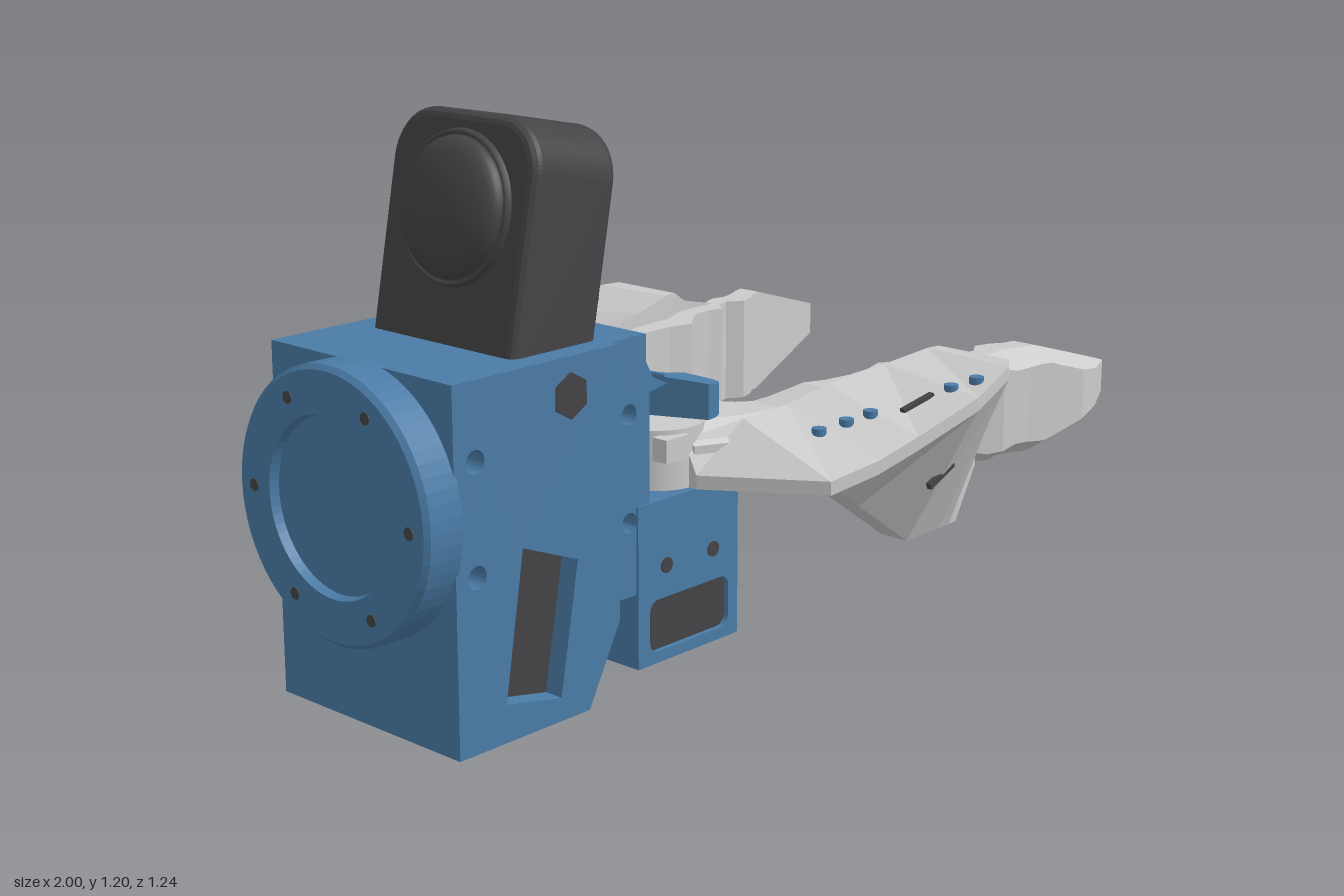
import * as THREE from 'three';

const mat = (color, extra = {}) => new THREE.MeshStandardMaterial({ color, ...extra });
const BLUE = mat(0x4a7ba6), DARK = mat(0x444446), GREY = mat(0xcccccc, { flatShading: true });

function add(parent, name, geo, material, x = 0, y = 0, z = 0) {
  const m = new THREE.Mesh(geo, material);
  m.name = name;
  m.position.set(x, y, z);
  parent.add(m);
  return m;
}

// box given by its limits
function block(parent, name, material, [x0, x1], [y0, y1], [z0, z1]) {
  return add(parent, name, new THREE.BoxGeometry(x1 - x0, y1 - y0, z1 - z0), material,
    (x0 + x1) / 2, (y0 + y1) / 2, (z0 + z1) / 2);
}

const poly = pts => new THREE.Shape(pts.map(p => new THREE.Vector2(...p)));
const circle = (x, y, r) => new THREE.Path().absarc(x, y, r, 0, Math.PI * 2);

function roundRect(x0, x1, y0, y1, r) {
  const s = new THREE.Shape();
  s.absarc(x1 - r, y0 + r, r, -Math.PI / 2, 0);
  s.absarc(x1 - r, y1 - r, r, 0, Math.PI / 2);
  s.absarc(x0 + r, y1 - r, r, Math.PI / 2, Math.PI);
  s.absarc(x0 + r, y0 + r, r, Math.PI, Math.PI * 1.5);
  return s;
}

function extrude(shape, depth, holes = [], bevel = 0) {
  shape.holes.push(...holes);
  return new THREE.ExtrudeGeometry(shape, {
    depth: depth - 2 * bevel, bevelEnabled: bevel > 0, bevelSize: bevel, bevelThickness: bevel,
    bevelOffset: -bevel, bevelSegments: 3, curveSegments: 10,
  });
}

// solid through rings of [x, y, z] points, each running counter-clockwise about +x
function loft(rings) {
  const n = rings[0].length, index = [], last = (rings.length - 1) * n;
  for (let i = 0; i < rings.length - 1; i++)
    for (let j = 0; j < n; j++) {
      const a = i * n + j, b = i * n + (j + 1) % n;
      index.push(a, b, a + n, b, b + n, a + n);
    }
  for (let j = 1; j < n - 1; j++) index.push(0, j + 1, j, last, last + j, last + j + 1);
  const g = new THREE.BufferGeometry();
  g.setAttribute('position', new THREE.Float32BufferAttribute(rings.flat(2), 3));
  g.setIndex(index);
  g.computeVertexNormals();
  return g;
}

// straight-line lookup in a list of [x, value]
function lerp(list, x) {
  let i = 0;
  while (i < list.length - 2 && x > list[i + 1][0]) i++;
  const [x0, v0] = list[i], [x1, v1] = list[i + 1];
  return v0 + (v1 - v0) * THREE.MathUtils.clamp((x - x0) / (x1 - x0), 0, 1);
}

const INNER = [[-.24, .06], [-.1, .09], [-.07, .13], [-.03, .19], [.03, .235], [.09, .265], [.15, .29], [.22, .302],
  [.29, .3], [.35, .283], [.38, .31], [.43, .343], [.48, .346], [.52, .337], [.545, .37], [.58, .378], [.62, .353],
  [.66, .365], [.69, .385], [1, .45]];
const OUTER = [[-.24, .26], [-.1, .33], [.4, .43], [.52, .435], [.58, .468], [.66, .482], [.75, .508], [.82, .523], [.9, .505], [1, .457]];
const TOP = [[-.24, .53], [0, .53], [.1, .562], [.72, .565], [1, .48]];
const BOTTOM = [[-.24, .4], [-.02, .395], [.13, .312], [.71, .315], [1, .4]];

// wing rows: x, inner z, outer z, inner top y, outer top y, keel y, keel z
const WING = [
  [-.25, .24, .275, .5, .43, .4, .27],
  [-.12, .29, .53, .53, .44, .4, .4],
  [.0, .31, .56, .54, .465, .385, .42],
  [.1, .34, .585, .57, .5, .315, .43],
  [.26, .37, .622, .592, .56, .2, .44],
  [.38, .395, .615, .61, .605, .2, .44],
  [.415, .4, .59, .61, .61, .2, .44],
  [.45, .4, .475, .585, .58, .2, .435],
  [.54, .39, .43, .565, .56, .31, .42],
];

function makeFinger(name) {
  const f = new THREE.Group();
  f.name = name;
  // pivot hub with pin
  add(f, 'fingerHub', new THREE.CylinderGeometry(.105, .105, .13, 28), mat(0xcccccc), -.24, .465, .15);
  block(f, 'fingerStop', GREY, [-.33, -.26], [.47, .52], [.225, .265]);

  // scalloped blade
  const xs = [...new Set([...INNER, ...OUTER, ...TOP, ...BOTTOM].map(p => p[0]))].sort((a, b) => a - b);
  add(f, 'fingerBlade', loft(xs.map(x => {
    const zi = lerp(INNER, x), zo = lerp(OUTER, x), t = lerp(TOP, x), b = lerp(BOTTOM, x);
    const c = Math.min(.06, (zo - zi) * .45), d = c * .7;
    return [[x, t, zi], [x, t, zo - c], [x, t - d, zo], [x, b + d, zo], [x, b, zo - c], [x, b, zi]];
  })), GREY);

  // flared wing with keel
  add(f, 'fingerWing', loft(WING.map(([x, zi, zo, yi, yo, yk, zk]) => [
    [x, yi, zi], [x, yo, zo], [x, yo - .03, zo], [x, yk, zk], [x, yk, zk - Math.min(.07, zk - zi)], [x, (yi + yk) / 2, zi],
  ])), GREY);

  // coloured studs and slots on the wing
  const col = k => WING.map(r => [r[0], r[k]]);
  const wingY = (x, z) => {
    const zi = lerp(col(1), x), zo = lerp(col(2), x);
    return THREE.MathUtils.lerp(lerp(col(3), x), lerp(col(4), x), (z - zi) / (zo - zi));
  };
  for (const [x, z] of [[-.02, .415], [.04, .44], [.09, .465], [.26, .55], [.31, .58]])
    add(f, 'wingStud', new THREE.CylinderGeometry(.016, .016, .016, 14), BLUE, x, wingY(x, z), z);
  const slot = add(f, 'wingSlot', new THREE.BoxGeometry(.09, .008, .014), DARK, .18, wingY(.18, .52), .52);
  slot.rotation.set(0, -.15, .25);
  const side = add(f, 'keelSlot', new THREE.BoxGeometry(.09, .014, .012), DARK, .26, .37, .528);
  side.rotation.z = .4;
  return f;
}

function makeCamera() {
  const cam = new THREE.Group();
  cam.name = 'cameraUnit';
  // rounded-top slab
  const s = new THREE.Shape();
  s.moveTo(-.21, -.06);
  s.lineTo(.21, -.06);
  s.absarc(.1, .333, .11, 0, Math.PI / 2);
  s.absarc(-.1, .333, .11, Math.PI / 2, Math.PI);
  const g = extrude(s, .23, [], .02).translate(0, 0, -.095);
  add(cam, 'cameraBody', g.rotateY(Math.PI / 2), DARK);
  // domed lens on both faces
  const prof = [[.158, 0], [.155, .01], [.148, .012], [.145, .004]];
  for (let i = 0; i <= 10; i++) {
    const a = i / 10 * Math.PI / 2;
    prof.push([.142 * Math.cos(a), .012 + .048 * Math.sin(a)]);
  }
  for (const d of [-1, 1]) {
    const lens = add(cam, 'cameraLens', new THREE.LatheGeometry(prof.map(p => new THREE.Vector2(...p)), 48), DARK, d * .115, .25, 0);
    lens.rotation.z = -d * Math.PI / 2;
  }
  cam.position.set(-.59, .75, 0);
  cam.rotation.z = -.19;
  return cam;
}

export function createModel() {
  const model = new THREE.Group();
  model.name = 'gripper';

  // round mounting flange with recessed centre and screw ring
  const ring = [[0, 0], [.283, 0], [.283, .08], [.273, .09], [.185, .09], [.18, .07], [0, .07]];
  const flange = add(model, 'mountFlange', new THREE.LatheGeometry(ring.map(p => new THREE.Vector2(...p)), 64),
    mat(0x4a7ba6, { flatShading: true }), -.91, .475, 0);
  flange.rotation.z = Math.PI / 2;
  for (let i = 0; i < 6; i++) {
    const a = (i + .5) * Math.PI / 3;
    add(flange, 'flangeScrew', new THREE.CylinderGeometry(.013, .013, .01, 12), DARK, .232 * Math.cos(a), .087, .232 * Math.sin(a));
  }

  // main housing, with a window on the front side only
  const outline = [[-.915, .0], [-.56, 0], [-.47, .17], [-.47, .75], [-.915, .75]];
  const trap = [[-.74, .39], [-.79, .08], [-.64, .05], [-.59, .33]];
  const bolts = () => [.36, .59].map(y => circle(-.86, y, .024));
  add(model, 'housing', extrude(poly(outline), .47, bolts()), BLUE, 0, 0, -.27);
  add(model, 'housingSide', extrude(poly(outline), .065, [...bolts(), poly(trap)]), BLUE, 0, 0, .2);
  add(model, 'housingWindow', extrude(poly(trap), .03), DARK, 0, 0, .19);
  for (const z of [-.268, .263])
    add(model, 'hexNut', new THREE.CylinderGeometry(.048, .048, .01, 6).rotateX(Math.PI / 2), DARK, -.605, .67, z);
  add(model, 'bottomPort', new THREE.CylinderGeometry(.045, .045, .006, 24), DARK, -.72, .003, 0);

  // bracket back wall with through bolts
  add(model, 'bracketWall', extrude(poly([[-.47, .2], [-.36, .2], [-.36, .66], [-.37, .69], [-.37, .75], [-.47, .75]]),
    .49, [.36, .59].map(y => circle(-.42, y, .022))), BLUE, 0, 0, -.245);

  // sloped bracket roof: a floor and a notched upper layer
  const roof = (notch, y0, y1) => {
    const s = new THREE.Shape();
    s.moveTo(-.4, -.245);
    s.absarc(-.18, -.155, .09, -Math.PI / 2, 0);
    if (notch) for (const p of [[-.09, -.095], [-.285, -.095], [-.285, .095], [-.09, .095]]) s.lineTo(...p);
    s.absarc(-.18, .155, .09, 0, Math.PI / 2);
    s.lineTo(-.4, .245);
    const g = extrude(s, 1).rotateX(-Math.PI / 2), p = g.attributes.position;
    for (let i = 0; i < p.count; i++) p.setY(i, p.getY(i) > .5 ? y1(p.getX(i)) : y0);
    g.computeVertexNormals();
    return g;
  };
  add(model, 'roofFloor', roof(false, .53, () => .57), BLUE);
  add(model, 'roofTop', roof(true, .56, x => .59 - .2 * (x + .09)), BLUE);
  add(model, 'roofFillet', extrude(poly([[-.38, .62], [-.3, .632], [-.345, .655], [-.37, .7], [-.38, .7]]), .48), BLUE, 0, 0, -.24);
  for (const z of [-.14, .14]) {
    const s = add(model, 'roofScrew', new THREE.CylinderGeometry(.026, .026, .012, 20), mat(0x35597a), -.24, .618, z);
    s.rotation.z = -.2;
  }
  block(model, 'centrePillar', BLUE, [-.37, -.1], [.38, .54], [-.045, .045]);

  // lower box: dark core behind windowed walls
  const t = .02, X = [-.4, -.09], Y = [.035, .385], Z = [-.265, .25];
  const wall = (u, v, w) => extrude(roundRect(...u, ...v, .006), t, [roundRect(...w, .025)]);
  block(model, 'lowerCore', DARK, [-.39, -.102], [.047, .375], [-.253, .238]);
  block(model, 'lowerLid', BLUE, X, [.37, .39], Z);
  block(model, 'lowerBack', BLUE, [-.4, -.38], Y, Z);
  add(model, 'lowerFront', wall(X, Y, [-.365, -.12, .06, .175]), BLUE, 0, 0, Z[1] - t);
  add(model, 'lowerRear', wall(X, Y, [-.365, -.12, .06, .175]), BLUE, 0, 0, Z[0]);
  const end = add(model, 'lowerEnd', wall([-Z[1], -Z[0]], Y, [-.035, .21, .055, .175]), BLUE, X[1] - t, 0, 0);
  end.rotation.y = Math.PI / 2;
  const base = add(model, 'lowerBase', wall(X, Z, [-.365, -.12, -.22, .2]), BLUE, 0, Y[0] + t, 0);
  base.rotation.x = Math.PI / 2;
  for (const z of Z) for (const x of [-.315, -.17])
    add(model, 'boxScrew', new THREE.CylinderGeometry(.017, .017, .006, 16).rotateX(Math.PI / 2), DARK, x, .245, z);
  for (const [z, y] of [[.12, .245], [-.1, .245], [.12, .133]])
    add(model, 'boxScrew', new THREE.CylinderGeometry(.015, .015, .006, 16).rotateZ(Math.PI / 2), DARK, X[1], y, z);

  // camera and mirrored fingers
  model.add(makeCamera());
  const front = makeFinger('frontFinger'), rear = makeFinger('rearFinger');
  rear.scale.z = -1;
  model.add(front, rear);
  return model;
}
